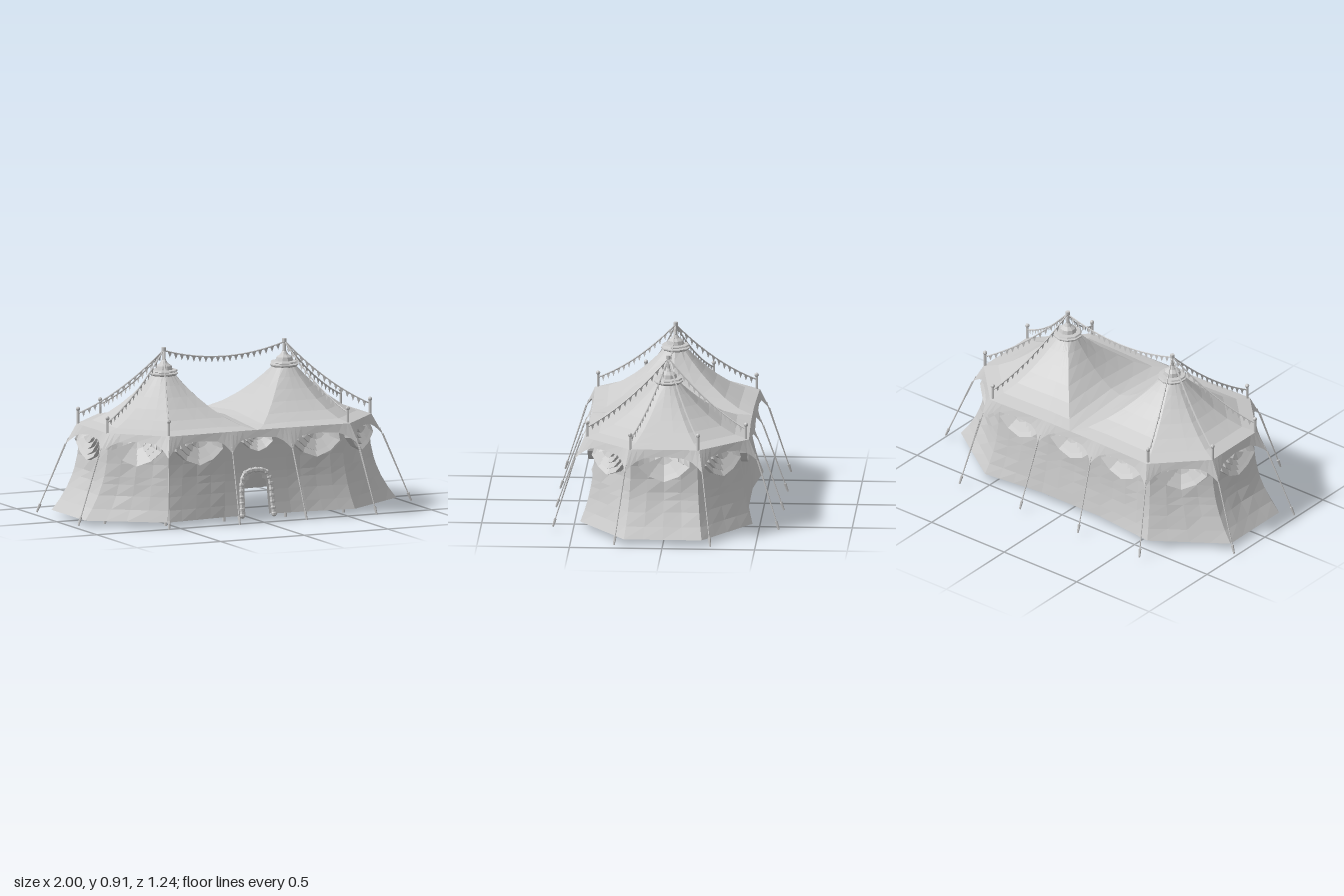
import * as THREE from 'three';

const V = (x, y, z) => new THREE.Vector3(x, y, z);
const mat = new THREE.MeshStandardMaterial({ color: 0xcccccc, flatShading: true, side: THREE.DoubleSide });

function add(parent, name, geo) {
  const m = new THREE.Mesh(geo, mat);
  m.name = name;
  parent.add(m);
  return m;
}

// Skin a stack of closed loops; skip(a, c, i) may leave a cell open
function skin(rows, skip = () => false) {
  const pos = [], n = rows[0].length;
  for (let j = 0; j < rows.length - 1; j++) {
    for (let i = 0; i < n; i++) {
      const k = (i + 1) % n;
      const a = rows[j][i], b = rows[j][k], c = rows[j + 1][k], d = rows[j + 1][i];
      if (skip(a, c, i)) continue;
      for (const p of [a, b, c, a, c, d]) pos.push(p.x, p.y, p.z);
    }
  }
  const g = new THREE.BufferGeometry();
  g.setAttribute('position', new THREE.Float32BufferAttribute(pos, 3));
  g.computeVertexNormals();
  return g;
}

// Mirror three corners of a quadrant into the twelve-sided plan
function plan(q, y) {
  const right = [...q, ...[...q].reverse().map(([x, z]) => [x, -z])];
  const left = [...right].reverse().map(([x, z]) => [-x, z]);
  return [...right, ...left].map(([x, z]) => V(x, y, z));
}

function rod(parent, name, a, b, r, r2 = r) {
  const m = add(parent, name, new THREE.CylinderGeometry(r2, r, a.distanceTo(b), 6));
  m.position.copy(a).lerp(b, 0.5);
  m.quaternion.setFromUnitVectors(V(0, 1, 0), b.clone().sub(a).normalize());
}

const wallBase = plan([[0.2, 0.425], [0.56, 0.465], [0.93, 0.21]], 0.03);
const wallTop = plan([[0.18, 0.39], [0.52, 0.39], [0.78, 0.18]], 0.48);
const eave = plan([[0.17, 0.435], [0.54, 0.445], [0.79, 0.19]], 0.495);
const tips = plan([[0.18, 0.485], [0.57, 0.495], [0.85, 0.21]], 0.385);

const flare = y => 1 - Math.pow(1 - Math.min(1, (y - 0.03) / 0.45), 2.5);
const DOOR = 11;

// Wall loop at a height, with soft folds in the cloth
function wallLoop(y, inset) {
  const pts = [], f = flare(y);
  for (let i = 0; i < 12; i++) {
    const a = wallBase[i].clone().lerp(wallTop[i], f);
    const k = (i + 1) % 12;
    const b = wallBase[k].clone().lerp(wallTop[k], f);
    const steps = i === DOOR ? [0, 0.31, 0.38, 0.5, 0.62, 0.69] : [0, 0.25, 0.5, 0.75];
    for (const t of steps) {
      const p = a.clone().lerp(b, t);
      const fold = i === DOOR ? 1 : 1 + 0.016 * Math.sin(t * Math.PI) * Math.sin(i * 2.3 + y * 14 + t * 5) * f;
      p.set(p.x * fold * (inset ? 0.978 : 1), y, p.z * fold * (inset ? 0.96 : 1));
      pts.push(p);
    }
  }
  return pts;
}

// Double wall: down the inside, across the hem and up the outside, with a doorway
function buildWalls(g) {
  const ys = [0.03, 0.09, 0.16, 0.22, 0.26, 0.33, 0.4, 0.48];
  const rows = [...[...ys].reverse().map(y => wallLoop(y, true)), ...ys.map(y => wallLoop(y, false))];
  const door = (a, c, i) => {
    const col = i - DOOR * 4, top = Math.max(a.y, c.y);
    return col >= 1 && col <= 4 && top < (col === 1 || col === 4 ? 0.23 : 0.27);
  };
  add(g, 'tentWalls', skin(rows, door));
}

// One peaked half of the roof, sagging from the collar to the eave and valley
function buildRoofHalf(g, s) {
  const edge = [V(0, 0.49, 0.435)];
  for (let i = 0; i < 6; i++) {
    edge.push(eave[i].clone());
    const next = i < 5 ? eave[i + 1] : V(0, 0.49, -0.435);
    for (const t of [0.33, 0.67]) edge.push(eave[i].clone().lerp(next, t));
  }
  edge.push(V(0, 0.49, -0.435), V(0, 0.505, -0.22), V(0, 0.52, 0), V(0, 0.505, 0.22));
  const rows = [1, 0.8, 0.6, 0.42, 0.26, 0.12, 0].map(t => {
    const loop = edge.map(p => {
      const d = V(p.x - 0.36, 0, p.z).normalize().multiplyScalar(0.06);
      const q = V(0.36 + d.x, 0, d.z).lerp(p, t);
      q.y = p.y + (0.765 - p.y) * Math.pow(1 - t, 1.7);
      q.x *= s;
      return q;
    });
    return s < 0 ? loop.reverse() : loop;
  });
  add(g, 'roofPeak', skin(rows));
}

// Scalloped valance that reaches out to a point at each corner
function buildValance(g) {
  const low = [], high = [];
  for (let i = 0; i < 12; i++) {
    const k = (i + 1) % 12;
    for (const t of [0, 0.05, 0.12, 0.22, 0.5, 0.78, 0.88, 0.95]) {
      const e = eave[i].clone().lerp(eave[k], t);
      const o = tips[i].clone().lerp(tips[k], t);
      const c = Math.pow(Math.abs(2 * t - 1), 4);
      const p = e.clone().lerp(o, 0.2 + 0.8 * c);
      p.y = 0.458 - 0.076 * c;
      low.push(p);
      high.push(e);
    }
  }
  add(g, 'valance', skin([low, high]));
}

// Shingled swags under every arch, each tier leaning out to its lower lip
function buildSwags(g) {
  const outline = [[-0.138, 0], [-0.138, -0.06], [-0.08, -0.112], [0, -0.142], [0.08, -0.112], [0.138, -0.06], [0.138, 0]];
  const tiers = [[1, 0], [1, 0.04], [0.78, 0.016], [0.78, 0.038], [0.56, 0.016], [0.56, 0.038], [0.34, 0.016], [0.34, 0.036], [0, 0.016]];
  const rows = tiers.map(([s, z]) => outline.map(([x, y]) => V(x * s, y * s, y < 0 ? z : z * 0.3)));
  const geo = skin(rows);
  for (let i = 0; i < 12; i++) {
    const a = wallTop[i], b = wallTop[(i + 1) % 12];
    const swag = add(g, 'swag', geo);
    swag.position.set((a.x + b.x) / 2, 0.465, (a.z + b.z) / 2);
    swag.rotation.y = Math.atan2(-(b.z - a.z), b.x - a.x);
    if (i === DOOR) swag.scale.set(0.62, 0.62, 1);
  }
}

// Rope with hanging pennants
function buildBunting(g, a, b, sag, count) {
  const mid = a.clone().lerp(b, 0.5);
  mid.y -= sag * 2;
  const curve = new THREE.QuadraticBezierCurve3(a, mid, b);
  add(g, 'buntingRope', new THREE.TubeGeometry(curve, 16, 0.004, 5));
  const pos = [];
  for (let i = 1; i < count; i++) {
    const t = i / count, w = 0.36 / count;
    const p = curve.getPoint(t - w), q = curve.getPoint(t + w), tip = curve.getPoint(t);
    tip.y -= 0.032;
    for (const v of [p, tip, q]) pos.push(v.x, v.y, v.z);
  }
  const geo = new THREE.BufferGeometry();
  geo.setAttribute('position', new THREE.Float32BufferAttribute(pos, 3));
  geo.computeVertexNormals();
  add(g, 'pennants', geo);
}

// Rolled curtains tied around the doorway
function buildDoor(g) {
  const zAt = y => 0.425 + (0.39 - 0.425) * flare(y);
  const path = [[-0.095, 0.03], [-0.09, 0.12], [-0.086, 0.2], [-0.065, 0.255], [0, 0.272],
    [0.065, 0.255], [0.086, 0.2], [0.09, 0.12], [0.095, 0.03]].map(([x, y]) => V(x, y, zAt(y)));
  const curve = new THREE.CatmullRomCurve3(path);
  add(g, 'doorFrame', new THREE.TubeGeometry(curve, 32, 0.013, 6));
  for (let i = 0; i <= 18; i++) {
    const roll = add(g, 'curtainRoll', new THREE.SphereGeometry(0.016, 7, 5));
    roll.position.copy(curve.getPointAt(i / 18));
  }
  for (const s of [-1, 1]) {
    const drape = new THREE.Shape([[0, 0.268], [0.08, 0.262], [0.085, 0.17], [0.062, 0.2], [0.04, 0.24]]
      .map(([x, y]) => new THREE.Vector2(s * x, y)));
    add(g, 'doorDrape', new THREE.ShapeGeometry(drape)).position.z = zAt(0.24);
  }
}

export function createModel() {
  const g = new THREE.Group();
  g.name = 'tent';
  buildWalls(g);
  buildValance(g);
  buildSwags(g);
  buildDoor(g);

  // Peaks with stepped collars, masts and bunting to the corner posts
  const cap = [[0.06, 0.75], [0.078, 0.764], [0.078, 0.77], [0.06, 0.774], [0.076, 0.779], [0.072, 0.786], [0.048, 0.788],
    [0.042, 0.808], [0.022, 0.822], [0.011, 0.84], [0.008, 0.885], [0.012, 0.889], [0.012, 0.908], [0, 0.91]];
  for (const s of [-1, 1]) {
    buildRoofHalf(g, s);
    add(g, 'mastCap', new THREE.LatheGeometry(cap.map(([r, y]) => new THREE.Vector2(r, y)), 10)).position.x = s * 0.36;
    for (const sz of [-1, 1]) {
      for (const [x, z] of [[0.535, 0.428], [0.785, 0.183]]) {
        const top = V(s * x, 0.575, sz * z);
        rod(g, 'cornerPost', V(s * x, 0.47, sz * z), top, 0.007);
        add(g, 'postBall', new THREE.SphereGeometry(0.012, 8, 6)).position.copy(top);
        buildBunting(g, V(s * 0.36, 0.895, 0), V(s * x, 0.55, sz * z), 0.035, 15);
      }
    }
  }
  buildBunting(g, V(-0.36, 0.89, 0), V(0.36, 0.89, 0), 0.055, 20);

  // Guy ropes with pegs, inner poles and ring beams
  const pegs = plan([[0.2, 0.615], [0.62, 0.61], [0.995, 0.26]], 0.015);
  for (let i = 0; i < 12; i++) {
    const foot = tips[i].clone().lerp(pegs[i], 0.88);
    rod(g, 'guyRope', foot, tips[i], 0.003);
    rod(g, 'guyRope', foot, tips[i].clone().lerp(eave[i], 0.3), 0.003);
    rod(g, 'ropePeg', pegs[i], foot, 0.005, 0.008);
    const inner = p => V(p.x * 0.965, 0.46, p.z * 0.94);
    const head = inner(wallTop[i]);
    rod(g, 'innerPole', V(head.x * 1.06, 0, head.z * 1.04), head, 0.008);
    rod(g, 'ringBeam', head, inner(wallTop[(i + 1) % 12]), 0.008);
  }
  return g;
}
